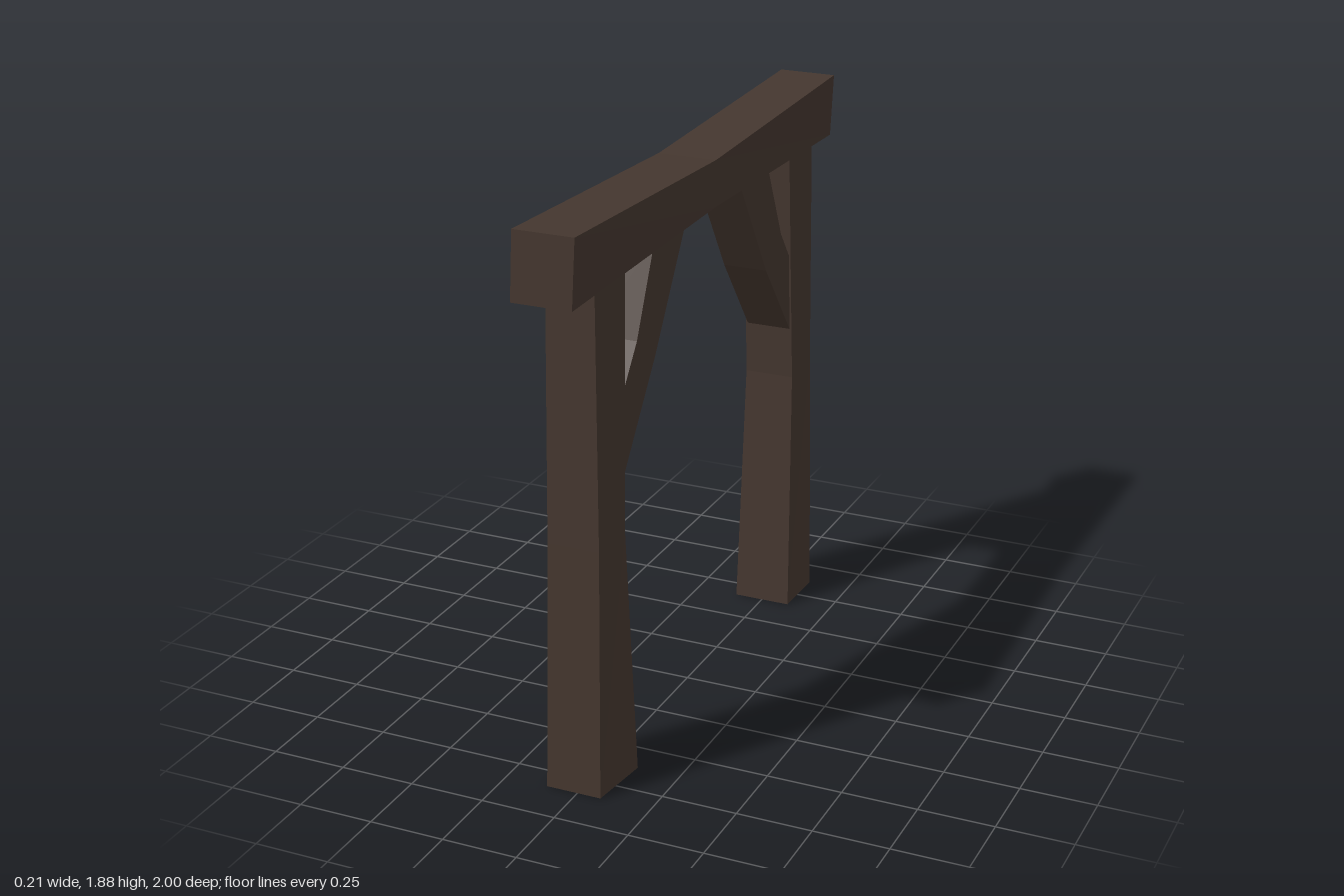
import * as THREE from 'three';

const wood = new THREE.MeshStandardMaterial({ color: 0x45372f, flatShading: true });
wood.name = 'dark timber';

// Timber through four-cornered sections, each listed as
// [-x near, +x near, -x far, +x far], where near is the box's +z side.
function timber(name, sections) {
  const n = sections.length - 1;
  const box = new THREE.BoxGeometry(1, 1, 1, 1, n, 1);
  const p = box.attributes.position;
  for (let i = 0; i < p.count; i++) {
    const level = Math.round((p.getY(i) + 0.5) * n);
    const corner = (p.getX(i) > 0 ? 1 : 0) + (p.getZ(i) > 0 ? 0 : 2);
    p.setXYZ(i, ...sections[level][corner]);
  }
  const geometry = box.toNonIndexed();
  geometry.computeVertexNormals();
  const mesh = new THREE.Mesh(geometry, wood);
  mesh.name = name;
  return mesh;
}

// Horizontal section of a post
const level = (y, zNear, zFar, near, far = near) => [
  [near[0], y, zNear], [near[1], y, zNear], [far[0], y, zFar], [far[1], y, zFar],
];

// Section of a brace between two points [z, y], of constant half width
const slant = (a, b, w) => [
  [-w, a[1], a[0]], [w, a[1], a[0]], [-w, b[1], b[0]], [w, b[1], b[0]],
];

// Upright section of the beam: its underside first, then its top
const upright = (z, bottom, top, low, high) => [
  [low[0], bottom, z], [low[1], bottom, z], [high[0], top, z], [high[1], top, z],
];

export function createModel() {
  const group = new THREE.Group();
  group.name = 'timberArch';

  // Posts, narrowed at the waist and slightly twisted at the foot
  group.add(timber('frontPost', [
    level(0, 0.84, 0.62, [-0.105, 0.08], [-0.1, 0.105]),
    level(0.84, 0.835, 0.655, [-0.087, 0.085]),
    level(1.68, 0.83, 0.625, [-0.078, 0.08], [-0.085, 0.08]),
  ]));
  group.add(timber('backPost', [
    level(0, -0.66, -0.865, [-0.1, 0.1], [-0.105, 0.105]),
    level(0.86, -0.7, -0.87, [-0.085, 0.087]),
    level(1.68, -0.66, -0.865, [-0.085, 0.08], [-0.09, 0.08]),
  ]));

  // Sagging lintel beam with skewed ends
  group.add(timber('topBeam', [
    upright(-1, 1.658, 1.87, [-0.1, 0.095], [-0.09, 0.105]),
    upright(0, 1.68, 1.832, [-0.098, 0.098], [-0.098, 0.098]),
    upright(1, 1.655, 1.875, [-0.103, 0.093], [-0.093, 0.105]),
  ]));

  // Kinked braces between the posts and the beam
  group.add(timber('frontBrace', [
    slant([0.66, 1.26], [0.66, 0.99], 0.078),
    slant([0.54, 1.41], [0.41, 1.32], 0.076),
    slant([0.41, 1.69], [0.175, 1.69], 0.076),
  ]));
  group.add(timber('backBrace', [
    slant([-0.7, 1.03], [-0.7, 1.28], 0.078),
    slant([-0.475, 1.32], [-0.605, 1.41], 0.076),
    slant([-0.24, 1.69], [-0.475, 1.69], 0.076),
  ]));

  return group;
}
